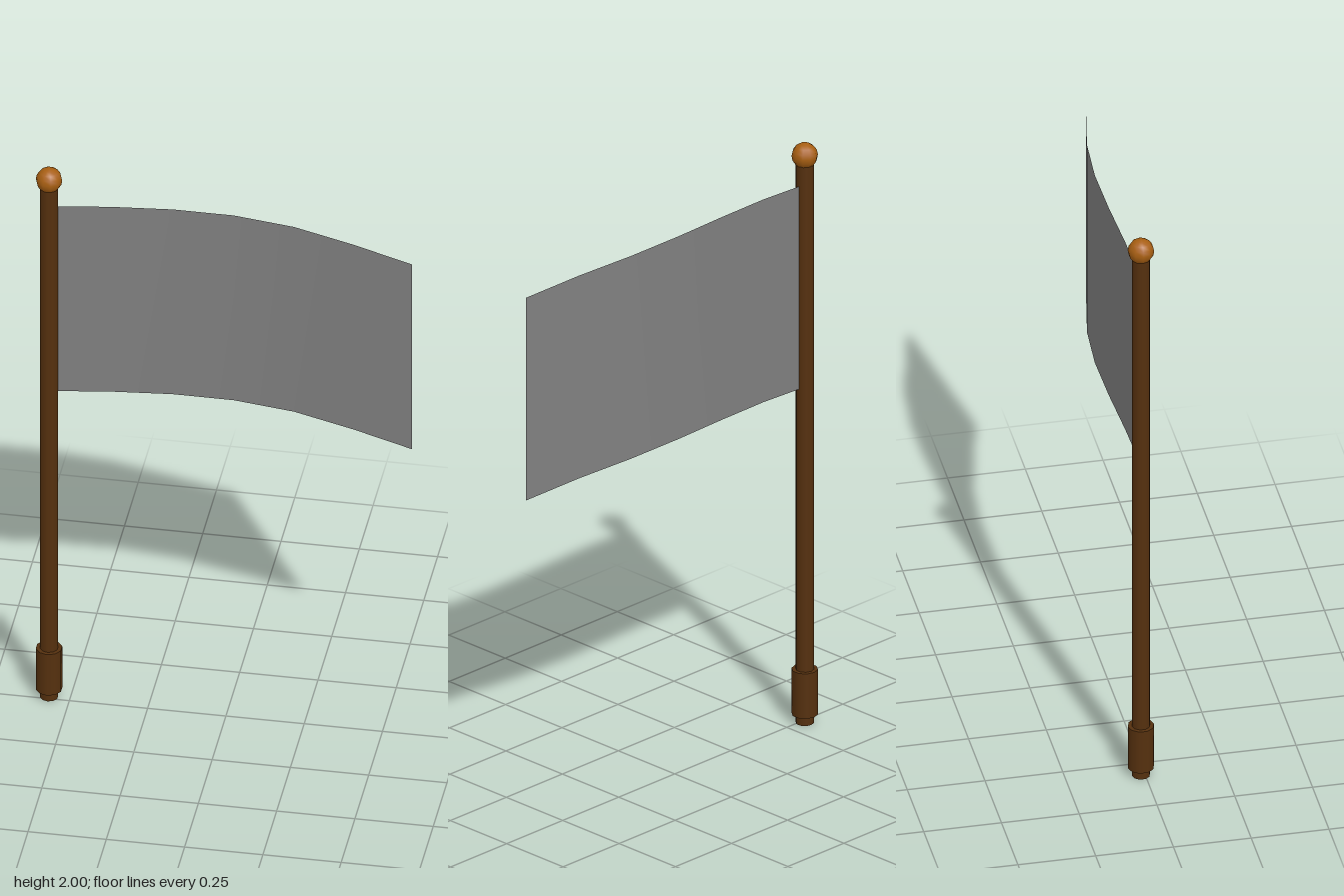
import * as THREE from 'three';

const POLE_X = -0.567;
const POLE_Z = -0.013;

export function createModel() {
  const group = new THREE.Group();
  group.name = 'flag';

  const wood = new THREE.MeshStandardMaterial({ color: 0x55300e });
  wood.name = 'dark wood';
  const knob = new THREE.MeshStandardMaterial({ color: 0xa85f12 });
  knob.name = 'amber wood';
  const cloth = new THREE.MeshStandardMaterial({ color: 0x808080, side: THREE.DoubleSide });
  cloth.name = 'grey cloth';

  const add = (name, geometry, material, x = 0, y = 0, z = 0) => {
    const mesh = new THREE.Mesh(geometry, material);
    mesh.name = name;
    mesh.position.set(x, y, z);
    group.add(mesh);
  };

  // Upright pole, grip collar near the foot, and round finial
  add('pole', new THREE.CylinderGeometry(0.029, 0.029, 1.94, 10), wood, POLE_X, 0.97, POLE_Z);
  add('collar', new THREE.CylinderGeometry(0.042, 0.042, 0.155, 10), wood, POLE_X, 0.108, POLE_Z);
  add('finial', new THREE.SphereGeometry(0.042, 10, 8), knob, POLE_X, 1.958, POLE_Z);

  // Waving sheet: each column is shifted in depth and height
  const depth = [-0.013, -0.023, -0.034, -0.037, -0.021, 0.018, 0.058];
  const segments = depth.length - 1;
  const sheet = new THREE.PlaneGeometry(1.172, 0.7, segments, 1);
  const pos = sheet.attributes.position;
  for (let i = 0; i < pos.count; i++) {
    const column = i % (segments + 1);
    const u = column / segments;
    const middle = 1.527 - 0.144 * (u - 0.37) ** 2;
    pos.setXYZ(i, POLE_X + 1.172 * u, pos.getY(i) + middle, depth[column]);
  }
  sheet.computeVertexNormals();
  add('flagCloth', sheet, cloth);

  return group;
}
